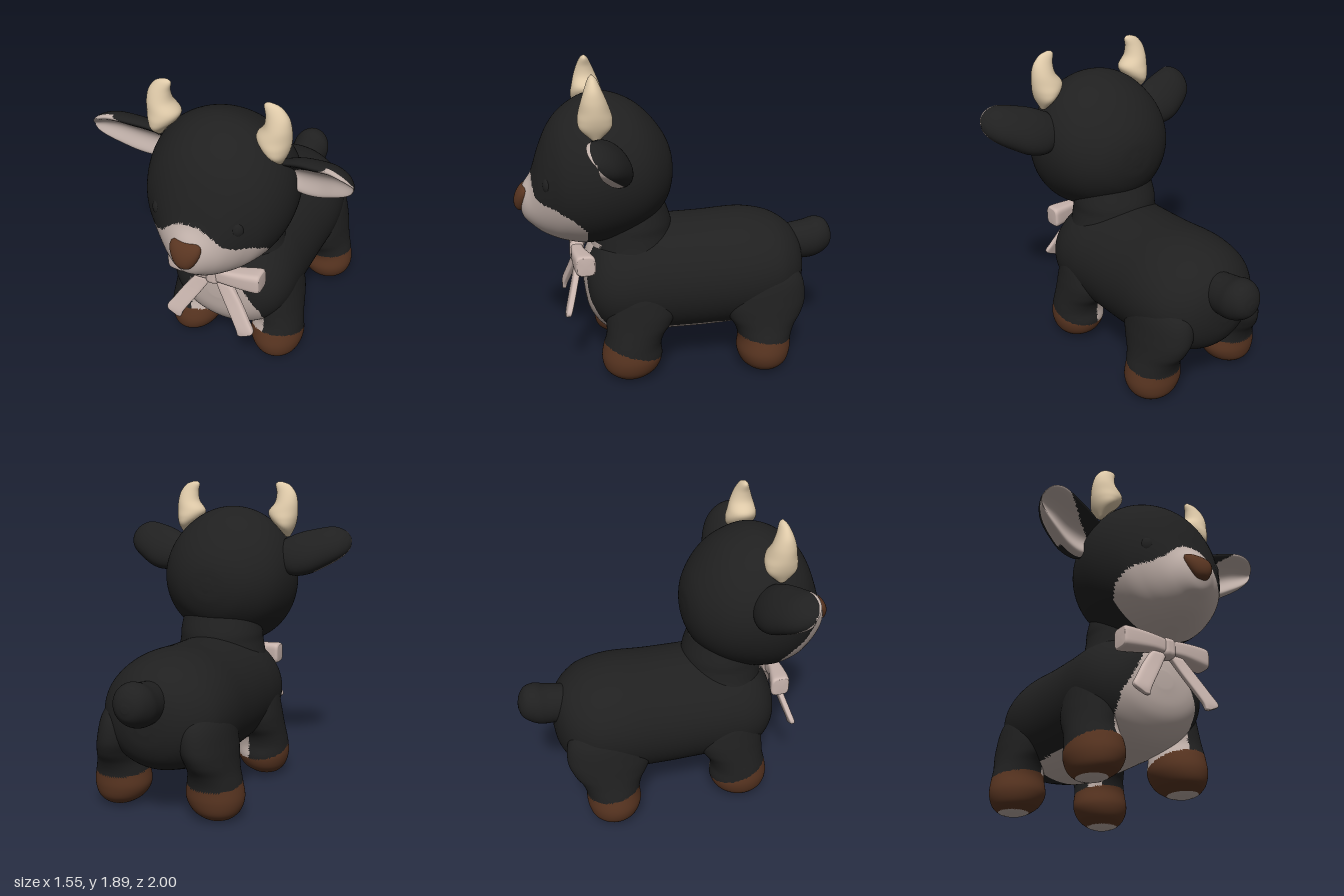
import * as THREE from 'three';
import { RoundedBoxGeometry } from 'three/addons/geometries/RoundedBoxGeometry.js';

const mat = (name, color) => new THREE.MeshStandardMaterial({ name, color });

// Lofts elliptical sections along an axis. Each row is
// [position, minU, maxU, minV, maxV]; (u, v) are the two other axes in x, y, z order.
// warp reshapes the unit circle, rule picks a material index for each triangle.
function loft(name, axis, rows, mats, { side = 1, steps = 48, segs = 60, warp, rule } = {}) {
  const spline = new THREE.CubicInterpolant(rows.map((_, i) => i), rows.flat(), 5);
  const rings = [];
  for (let i = 0; i <= steps; i++) rings.push([...spline.evaluate((i / steps) * (rows.length - 1))]);
  const flat = ([p, a, b, c, d]) => [p, (a + b) / 2, (a + b) / 2, (c + d) / 2, (c + d) / 2];
  rings.unshift(flat(rings[0]));
  rings.push(flat(rings[rings.length - 1]));

  const pos = [];
  for (const [p, u0, u1, v0, v1] of rings) {
    for (let j = 0; j < segs; j++) {
      const angle = (j / segs) * Math.PI * 2;
      let c = Math.cos(angle), s = Math.sin(angle);
      if (warp) [c, s] = warp(c, s);
      const u = (u0 + u1) / 2 + (c * (u1 - u0)) / 2;
      const v = (v0 + v1) / 2 + (s * (v1 - v0)) / 2;
      const [x, y, z] = { x: [p, u, v], y: [u, p, v], z: [u, v, p] }[axis];
      pos.push(x * side, y, z);
    }
  }
  const flip = (axis === 'y') !== (side < 0);
  const buckets = mats.map(() => []);
  for (let i = 0; i < rings.length - 1; i++) {
    for (let j = 0; j < segs; j++) {
      const k = (j + 1) % segs;
      const [a, b, c, d] = [i * segs + j, i * segs + k, (i + 1) * segs + k, (i + 1) * segs + j];
      const v = Math.sin(((j + 0.5) / segs) * Math.PI * 2);
      for (const [e, f, g] of [[a, b, c], [a, c, d]]) {
        const mid = n => (pos[e * 3 + n] + pos[f * 3 + n] + pos[g * 3 + n]) / 3;
        const m = rule ? rule(mid(0) * side, mid(1), mid(2), v) : 0;
        buckets[m].push(...(flip ? [e, g, f] : [e, f, g]));
      }
    }
  }
  const geo = new THREE.BufferGeometry();
  geo.setAttribute('position', new THREE.Float32BufferAttribute(pos, 3));
  geo.setIndex(buckets.flat());
  let start = 0;
  buckets.forEach((list, m) => {
    if (list.length) geo.addGroup(start, list.length, m);
    start += list.length;
  });
  geo.computeVertexNormals();
  const mesh = new THREE.Mesh(geo, mats.length > 1 ? mats : mats[0]);
  mesh.name = name;
  return mesh;
}

export function createModel() {
  const model = new THREE.Group();
  model.name = 'plushCalf';
  const black = mat('blackFur', 0x202020);
  const pale = mat('paleFur', 0xbfafa8);
  const brown = mat('brownHoof', 0x593521);
  const cream = mat('creamHorn', 0xdfcaa9);
  const satin = mat('ribbon', 0xcab6af);
  const add = (...args) => model.add(loft(...args));

  // Body with pale belly and chest
  const chestWidth = y => Math.min(0.255, 0.25 - (y - 0.47) * 0.55);
  add('body', 'z', [
    [-0.795, -0.05, 0.05, 0.53, 0.64], [-0.78, -0.14, 0.14, 0.44, 0.72],
    [-0.74, -0.235, 0.235, 0.36, 0.80], [-0.67, -0.315, 0.315, 0.30, 0.865],
    [-0.57, -0.37, 0.37, 0.265, 0.915], [-0.40, -0.395, 0.395, 0.225, 0.945],
    [-0.15, -0.388, 0.388, 0.205, 0.935], [0.10, -0.388, 0.388, 0.205, 0.93],
    [0.25, -0.392, 0.392, 0.205, 0.93], [0.38, -0.385, 0.385, 0.21, 0.91],
    [0.48, -0.35, 0.35, 0.25, 0.86], [0.55, -0.285, 0.285, 0.33, 0.78],
    [0.585, -0.20, 0.20, 0.41, 0.71], [0.60, -0.06, 0.06, 0.52, 0.62],
  ], [black, pale], {
    steps: 108, segs: 130,
    rule: (x, y, z) =>
      (y < 0.3 && z > -0.42) || (z > 0.44 && Math.abs(x) < chestWidth(y) && y < 0.8) ? 1 : 0,
  });

  // Neck
  add('neck', 'y', [
    [0.68, -0.36, 0.36, 0.03, 0.54], [0.78, -0.30, 0.30, 0.035, 0.545],
    [0.88, -0.275, 0.275, 0.045, 0.54], [0.95, -0.27, 0.27, 0.055, 0.52],
    [1.05, -0.25, 0.25, 0.09, 0.48],
  ], [black, pale], { rule: (x, y, z) => (z > 0.49 && Math.abs(x) < 0.16 && y < 0.83 ? 1 : 0) });

  // Tail
  add('tail', 'z', [
    [-1.0, -0.02, 0.02, 0.71, 0.75], [-0.985, -0.065, 0.065, 0.665, 0.80],
    [-0.95, -0.10, 0.10, 0.63, 0.845], [-0.89, -0.122, 0.122, 0.60, 0.858],
    [-0.82, -0.12, 0.12, 0.59, 0.84], [-0.70, -0.11, 0.11, 0.59, 0.82],
  ], [black]);

  // Head tapering to a pale muzzle
  const edge = [[0, 1.27], [0.06, 1.262], [0.12, 1.225], [0.18, 1.165], [0.24, 1.135], [0.3, 1.125],
    [0.34, 1.09], [0.358, 1.02], [0.37, 0.8]];
  const muzzleTop = x => {
    const i = edge.findIndex(e => e[0] > x);
    if (i < 1) return 0;
    const [[x0, y0], [x1, y1]] = [edge[i - 1], edge[i]];
    return y0 + ((y1 - y0) * (x - x0)) / (x1 - x0);
  };
  add('head', 'z', [
    [0.042, -0.03, 0.03, 1.23, 1.29], [0.055, -0.13, 0.13, 1.14, 1.38],
    [0.10, -0.24, 0.24, 1.04, 1.48], [0.19, -0.345, 0.345, 0.95, 1.595],
    [0.30, -0.405, 0.405, 0.885, 1.68], [0.45, -0.432, 0.432, 0.835, 1.73],
    [0.58, -0.417, 0.417, 0.82, 1.71], [0.70, -0.365, 0.365, 0.84, 1.635],
    [0.78, -0.29, 0.29, 0.865, 1.54], [0.84, -0.22, 0.22, 0.895, 1.41],
    [0.89, -0.155, 0.155, 0.935, 1.265], [0.94, -0.09, 0.09, 0.985, 1.19],
    [0.965, -0.03, 0.03, 1.06, 1.11],
  ], [black, pale], {
    steps: 108, segs: 130,
    rule: (x, y, z) =>
      z > 0.58 + 0.9 * Math.max(0, y - 0.98) && y < muzzleTop(Math.abs(x)) ? 1 : 0,
  });

  // Nose, wide at the top and blunt below
  const noseGeo = new THREE.SphereGeometry(1, 32, 20);
  const np = noseGeo.attributes.position;
  for (let i = 0; i < np.count; i++) {
    const y = np.getY(i);
    const blunt = Math.max(0.3, (1 - y * y) ** 0.25);
    np.setXYZ(i, (np.getX(i) / blunt) * (0.084 + 0.03 * y), y * 0.08, np.getZ(i) * 0.052 - y * 0.018);
  }
  noseGeo.computeVertexNormals();
  const nose = new THREE.Mesh(noseGeo, brown);
  nose.name = 'nose';
  nose.position.set(0, 1.112, 0.943);
  model.add(nose);

  // Ribbon knot
  const knot = new THREE.Mesh(new RoundedBoxGeometry(0.09, 0.125, 0.09, 4, 0.035), satin);
  knot.name = 'ribbonKnot';
  knot.position.set(0, 0.74, 0.635);
  model.add(knot);

  const square = (u, v) => [Math.sign(u) * Math.abs(u) ** 0.5, Math.sign(v) * Math.abs(v) ** 0.5];
  for (const side of [1, -1]) {
    const tag = side > 0 ? 'left' : 'right';

    // Front leg: sole, hoof, pale inner side
    add(tag + 'FrontLeg', 'y', [
      [0.008, 0.255, 0.36, 0.29, 0.41], [0.025, 0.215, 0.395, 0.24, 0.455],
      [0.07, 0.155, 0.43, 0.18, 0.505], [0.14, 0.12, 0.448, 0.15, 0.522],
      [0.22, 0.125, 0.443, 0.155, 0.51], [0.29, 0.15, 0.433, 0.135, 0.492],
      [0.36, 0.14, 0.423, 0.085, 0.488], [0.45, 0.12, 0.41, 0.05, 0.485],
      [0.58, 0.12, 0.38, 0.08, 0.465], [0.70, 0.14, 0.31, 0.16, 0.42],
    ], [black, pale, brown], {
      side, steps: 63, segs: 72,
      rule: (x, y, z) => {
        if (y < 0.022) return 1;
        if (y < 0.24 + 0.31 * (z - 0.49)) return 2;
        return x < 0.25 && (y < 0.3 || (z > 0.35 && y < 0.5)) ? 1 : 0;
      },
    });

    // Rear leg
    add(tag + 'RearLeg', 'y', [
      [0.0, 0.265, 0.375, -0.555, -0.445], [0.016, 0.225, 0.415, -0.595, -0.40],
      [0.06, 0.165, 0.455, -0.64, -0.35], [0.13, 0.13, 0.473, -0.66, -0.325],
      [0.22, 0.14, 0.46, -0.665, -0.33], [0.29, 0.15, 0.44, -0.69, -0.31],
      [0.36, 0.14, 0.425, -0.735, -0.265], [0.45, 0.11, 0.41, -0.762, -0.23],
      [0.58, 0.10, 0.38, -0.74, -0.25], [0.70, 0.12, 0.31, -0.64, -0.34],
    ], [black, pale, brown], {
      side, steps: 63, segs: 72,
      rule: (x, y, z) => {
        if (y < 0.014) return 1;
        if (y < 0.24 + 0.12 * (z + 0.33)) return 2;
        return x < 0.22 && z > -0.42 && y < 0.3 ? 1 : 0;
      },
    });

    // Horn, its base slanting into the head
    add(tag + 'Horn', 'y', [
      [1.54, 0.35, 0.375, 0.50, 0.54], [1.60, 0.30, 0.403, 0.435, 0.605],
      [1.65, 0.25, 0.417, 0.422, 0.618], [1.70, 0.23, 0.422, 0.433, 0.61],
      [1.76, 0.272, 0.42, 0.455, 0.595], [1.82, 0.28, 0.405, 0.48, 0.575],
      [1.87, 0.27, 0.365, 0.503, 0.553], [1.89, 0.285, 0.315, 0.523, 0.535],
    ], [cream], { side, steps: 42, segs: 32 });

    // Cupped ear with pale lining
    add(tag + 'Ear', 'x', [
      [0.36, 1.34, 1.53, 0.36, 0.52], [0.45, 1.305, 1.57, 0.345, 0.555],
      [0.55, 1.32, 1.595, 0.355, 0.59], [0.65, 1.37, 1.61, 0.395, 0.615],
      [0.72, 1.415, 1.59, 0.44, 0.615], [0.76, 1.455, 1.555, 0.49, 0.59],
      [0.776, 1.49, 1.525, 0.53, 0.56],
    ], [black, pale], {
      side, steps: 54, segs: 72,
      warp: (u, v) => [u, (v > 0 ? v - 1.25 * v ** 3 : v) + 0.5 * u],
      rule: (x, y, z, v) =>
        v > (x > 0.58 && y < 1.53 ? -0.3 : 0.1) && y < 1.46 + (x - 0.42) * 0.7 ? 1 : 0,
    });

    // Eye
    const eye = new THREE.Mesh(new THREE.SphereGeometry(1, 24, 16), black);
    eye.name = tag + 'Eye';
    eye.scale.set(0.045, 0.055, 0.04);
    eye.position.set(0.23 * side, 1.25, 0.785);
    model.add(eye);

    // Bow loop and hanging ribbon end
    add(tag + 'BowLoop', 'x', [
      [0.0, 0.70, 0.79, 0.60, 0.67], [0.10, 0.70, 0.80, 0.59, 0.675],
      [0.20, 0.69, 0.81, 0.56, 0.67], [0.275, 0.685, 0.815, 0.54, 0.66],
      [0.295, 0.695, 0.805, 0.55, 0.65],
    ], [satin], { side, warp: square, steps: 20, segs: 40 });
    add(tag + 'RibbonEnd', 'y', [
      [0.395, 0.19, 0.22, 0.705, 0.73], [0.435, 0.175, 0.285, 0.692, 0.728],
      [0.50, 0.135, 0.25, 0.67, 0.71], [0.60, 0.07, 0.185, 0.64, 0.68],
      [0.70, 0.01, 0.11, 0.61, 0.655],
    ], [satin], { side, warp: square, steps: 20, segs: 40 });
  }
  return model;
}
